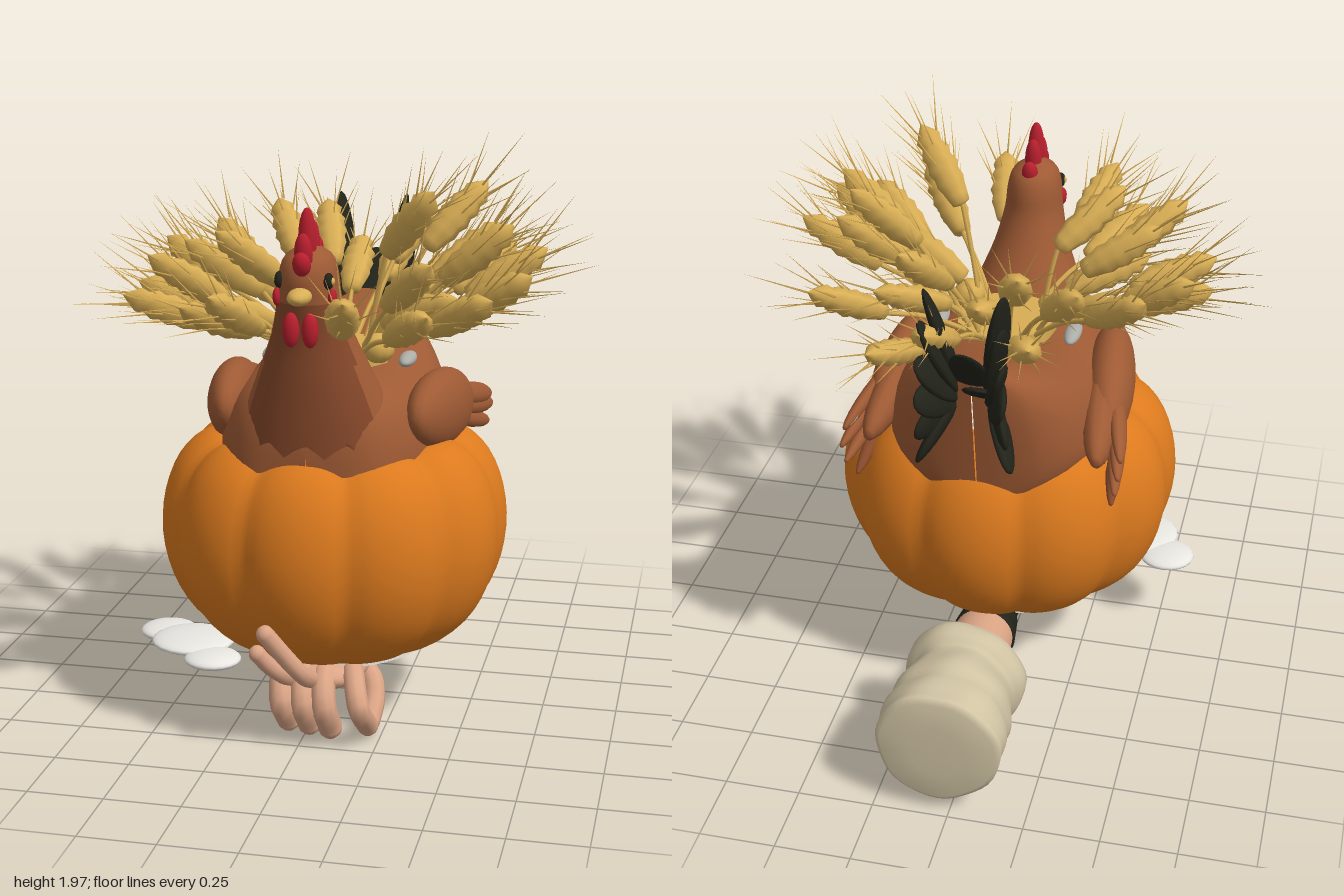
import * as THREE from 'three';
import { mergeGeometries } from 'three/addons/utils/BufferGeometryUtils.js';

const V = (x, y, z) => new THREE.Vector3(x, y, z);
const CX = 0.038; // mid plane of the bird and pumpkin
const TAU = Math.PI * 2;

const mat = (name, color) => {
  const m = new THREE.MeshStandardMaterial({ color });
  m.name = name;
  return m;
};

// Closed skin through rows of ring points; keep(row, angle) can leave faces out
function loft(rows, n, point, keep = () => true) {
  const pos = [], idx = [];
  rows.forEach((r) => {
    for (let j = 0; j < n; j++) pos.push(...point(r, (j / n) * TAU, j));
  });
  for (let i = 0; i < rows.length - 1; i++) {
    for (let j = 0; j < n; j++) {
      const a = i * n + j, b = i * n + (j + 1) % n;
      if (keep(rows[i], (j + 0.5) / n * TAU)) idx.push(a, a + n, b, b, a + n, b + n);
    }
  }
  const g = new THREE.BufferGeometry();
  g.setAttribute('position', new THREE.Float32BufferAttribute(pos, 3));
  g.setIndex(idx);
  g.computeVertexNormals();
  return g;
}

// Smooth resampling of a table of sections
function smooth(rows, steps) {
  const out = [];
  for (let i = 0; i < rows.length - 1; i++) {
    const p = [rows[Math.max(0, i - 1)], rows[i], rows[i + 1], rows[Math.min(rows.length - 1, i + 2)]];
    for (let s = 0; s < steps; s++) {
      const t = s / steps;
      out.push(rows[0].map((_, k) => {
        const [a, b, c, d] = p.map((q) => q[k]);
        return 0.5 * (2 * b + (c - a) * t + (2 * a - 5 * b + 4 * c - d) * t * t + (3 * b - a - 3 * c + d) * t ** 3);
      }));
    }
  }
  out.push(rows[rows.length - 1]);
  return out;
}

const ball = (c, rx, ry, rz, seg = 16) =>
  new THREE.SphereGeometry(1, seg, Math.ceil(seg * 0.7)).scale(rx, ry, rz).translate(c.x, c.y, c.z);

// Flat ellipsoid between two points, its thin side facing along normal
function leaf(a, b, width, thick, normal) {
  const y = b.clone().sub(a), len = y.length();
  y.normalize();
  const x = y.clone().cross(normal).normalize(), z = x.clone().cross(y);
  const m = new THREE.Matrix4().makeBasis(x, y, z).setPosition(a.clone().lerp(b, 0.5));
  return new THREE.SphereGeometry(1, 12, 10).scale(width / 2, len / 2, thick / 2).applyMatrix4(m);
}

// Rounded finger along a path
function finger(pts, r) {
  const curve = new THREE.CatmullRomCurve3(pts);
  const end = pts[pts.length - 1];
  return [new THREE.TubeGeometry(curve, 14, r, 10), ball(end, r, r, r, 10), ball(pts[0], r, r, r, 10)];
}

export function createModel() {
  const root = new THREE.Group();
  root.name = 'henInPumpkin';
  const M = {
    orange: mat('pumpkinOrange', 0xdc7a1e), brown: mat('henBrown', 0x9e5a34),
    dark: mat('bibBrown', 0x86482a), straw: mat('wheatStraw', 0xd9ae55),
    skin: mat('skin', 0xdca586), linen: mat('linen', 0xd0c3a3),
    black: mat('blackFeather', 0x22231a), red: mat('combRed', 0xb81f2d),
    white: mat('white', 0xeae9e4), grey: mat('grey', 0xadada8),
  };
  const add = (name, geo, m) => {
    const list = (Array.isArray(geo) ? geo : [geo]).map((g) => (g.index ? g.toNonIndexed() : g));
    const mesh = new THREE.Mesh(mergeGeometries(list), m);
    mesh.name = name;
    root.add(mesh);
  };

  // Pumpkin with ten lobes and a wavy rim
  const shell = [[0.01, 0.27], [0.25, 0.255], [0.37, 0.285], [0.485, 0.38], [0.553, 0.5], [0.582, 0.64],
    [0.57, 0.78], [0.522, 0.9], [0.445, 0.975], [0.36, 0.99], [0.24, 0.94]];
  add('pumpkin', loft(smooth(shell, 3), 120, ([r, y], a) => {
    const s = Math.pow(Math.abs(Math.sin(5 * (a - 1.29))), 0.6), k = 0.93 + 0.07 * s;
    return [CX + r * k * Math.cos(a), y - (y > 0.8 ? (y - 0.8) * 0.12 * (1 - s) : 0), 0.095 + r * k * Math.sin(a)];
  }), M.orange);
  add('basePlate', new THREE.CylinderGeometry(0.31, 0.31, 0.03, 40).translate(CX, 0.262, 0.09), M.white);
  add('plateBerries', [[0.2, 0.22], [0.17, 0.14], [0.25, 0.14]].map(([x, z]) => ball(V(x, 0.247, z), 0.03, 0.004, 0.025, 12)), M.red);

  // Hen body: z, top height, half width
  const bodyRows = [[0.535, 1.0, 0.002], [0.52, 1.1, 0.13], [0.47, 1.19, 0.21], [0.36, 1.225, 0.27], [0.18, 1.225, 0.32],
    [0, 1.235, 0.33], [-0.2, 1.285, 0.3], [-0.34, 1.335, 0.25], [-0.42, 1.355, 0.19], [-0.45, 1.35, 0.14], [-0.466, 1.34, 0.08],
    [-0.47, 1.335, 0.002]];
  add('henBody', loft(smooth(bodyRows, 3), 40, ([z, top, w], a) => {
    const pw = (v) => Math.sign(v) * Math.pow(Math.abs(v), 0.75);
    const s = pw(Math.sin(a)), h = (top - 0.82) / 2, y = 0.82 + h + h * s;
    const wide = Math.max(w, 0.001) * (1.12 - 0.18 * s);
    const tuck = z < 0 ? (z / 0.468) ** 2 * (1.3 - y) * 0.15 : 0;
    return [CX + wide * pw(Math.cos(a)), y, z + tuck];
  }), M.brown);

  // Neck and head: y, centre z, half width, half depth; the dark bib is its ragged front
  const neckRows = smooth([[1.02, 0.35, 0.25, 0.205], [1.12, 0.355, 0.232, 0.203], [1.25, 0.385, 0.182, 0.175], [1.38, 0.425, 0.13, 0.135],
    [1.5, 0.462, 0.1, 0.12], [1.58, 0.472, 0.092, 0.118], [1.64, 0.472, 0.07, 0.09], [1.68, 0.472, 0.002, 0.002]], 3);
  const neckPoint = ([y, cz, rx, rz], a, j) => [
    CX + rx * Math.cos(a), y < 1.03 ? y + [0.035, 0.01, -0.015, 0.01][j % 4] : y, cz + rz * Math.sin(a)];
  const isBib = ([y], a) => y < 1.47 && Math.abs(a - Math.PI / 2) < 1.05 + Math.max(0, y - 1.2);
  add('neckAndHead', loft(neckRows, 48, neckPoint, (r, a) => !isBib(r, a)), M.brown);
  add('bib', loft(neckRows, 48, neckPoint, isBib), M.dark);

  // Comb, wattles, beak, eyes
  const comb = [[0.6, 1.665], [0.57, 1.72], [0.51, 1.79], [0.455, 1.75], [0.395, 1.69]];
  add('comb', comb.map(([z, y]) => leaf(V(CX + 0.004, 1.59, 0.5 + (z - 0.5) * 0.75), V(CX + 0.004, y, z), 0.055, 0.058, V(1, 0, 0))), M.red);
  add('wattles', [-1, 1].map((s) => ball(V(CX + s * 0.03, 1.425, 0.59), 0.027, 0.055, 0.025, 12)), M.red);
  add('beak', ball(V(CX, 1.53, 0.6), 0.038, 0.027, 0.062, 12), M.straw);
  add('cheeks', [-1, 1].map((s) => ball(V(CX + s * 0.087, 1.515, 0.53), 0.014, 0.03, 0.025, 12)), M.red);
  add('eyeRims', [-1, 1].map((s) => ball(V(CX + s * 0.077, 1.57, 0.54), 0.016, 0.026, 0.026, 12)), M.black);
  add('eyes', [-1, 1].map((s) => ball(V(CX + s * 0.086, 1.571, 0.543), 0.012, 0.013, 0.013, 12)), M.straw);

  // Wings with coverts and trailing feathers
  for (const s of [-1, 1]) {
    const side = s > 0 ? 'left' : 'right';
    const shoulder = new THREE.SphereGeometry(1, 24, 18).scale(0.085, 0.135, 0.29).rotateX(-0.12).rotateY(-s * 0.12)
      .translate(CX + s * 0.35, 1.065, 0.07);
    const coverts = leaf(V(CX + s * 0.33, 1.12, 0.15), V(CX + s * 0.38, 1.0, -0.36), 0.17, 0.12, V(s, 0.2, 0));
    add(side + 'Wing', [shoulder, coverts], M.brown);
    const tips = [[0.46, 1.02, -0.36, 0.08], [0.46, 0.975, -0.4, 0.075], [0.45, 0.91, -0.39, 0.065], [0.43, 0.83, -0.33, 0.045]];
    const feathers = tips.map(([x, y, z, w], i) =>
      leaf(V(CX + s * 0.385, 1.1 - i * 0.04, 0), V(CX + s * x, y, z), w, 0.05, V(s, 0.5, 0.2)));
    add(side + 'WingFeathers', feathers.slice(0, 3), M.brown);
    add(side + 'LowestFeather', feathers[3], M.dark);
  }
  add('greyQuill', leaf(V(CX + 0.4, 1.085, -0.16), V(CX + 0.445, 1.025, -0.34), 0.03, 0.02, V(1, 0.3, 0)), M.grey);

  // Two fans of broad tail feathers with a pair between them
  const tailTips = [[-0.57, 1.68], [-0.62, 1.59], [-0.645, 1.46], [-0.64, 1.33], [-0.62, 1.2], [-0.59, 1.08]];
  const tail = [];
  for (const s of [-1, 1]) {
    tailTips.forEach(([z, y], i) => tail.push(leaf(V(CX + s * 0.05, 1.24, -0.385),
      V(CX + s * (0.12 + 0.006 * i), y, z), 0.135, 0.045, V(s, 0, -0.4))));
    tail.push(leaf(V(CX - 0.03, 1.24, -0.4), V(CX - 0.02 + s * 0.03, 1.42 + s * 0.06, -0.58), 0.13, 0.03, V(0, 0.6, 1)));
  }
  add('tailFeathers', tail, M.black);

  // Bed the wheat stands in
  add('strawBed', new THREE.CylinderGeometry(0.17, 0.17, 0.05, 9).translate(0.05, 1.245, 0.08), M.straw);
  add('bedTrim', [-1, 1].map((s) => ball(V(0.05 + s * 0.23, 1.23, 0.08), 0.028, 0.022, 0.08)), M.grey);
  add('knots', [V(0.2, 1.285, 0.18), V(-0.09, 1.265, 0.19)].map((p) => ball(p, 0.055, 0.05, 0.055, 10)), M.straw);

  // Wheat ears: tip x, z, y
  const ears = [[-0.6, -0.13, 1.57], [-0.48, -0.36, 1.6], [-0.29, -0.47, 1.66], [-0.17, -0.6, 1.53], [-0.1, -0.43, 1.67],
    [0.16, -0.63, 1.56], [0.33, -0.61, 1.46], [0.28, -0.4, 1.7], [0.57, -0.42, 1.55], [0.5, -0.16, 1.79],
    [0.57, -0.1, 1.66], [0.72, 0, 1.6], [0.63, 0.18, 1.7], [0.71, 0.34, 1.57], [0.61, 0.5, 1.52], [0.4, 0.33, 1.82],
    [0.44, 0.68, 1.5], [0.42, 0.5, 1.62], [0.21, 0.78, 1.55], [-0.2, 0.77, 1.55], [-0.34, 0.6, 1.48], [-0.5, 0.4, 1.6],
    [-0.62, 0.3, 1.45], [-0.64, 0.07, 1.45], [-0.3, 0.32, 1.67], [-0.45, 0.16, 1.61],
    [0.47, 0.25, 1.47], [0.4, -0.28, 1.5], [-0.4, -0.2, 1.5], [-0.4, 0.28, 1.45], [0.03, -0.42, 1.55]];
  const profile = [[0.006, 0]];
  [0.038, 0.052, 0.057, 0.055, 0.046].forEach((r, i) =>
    profile.push([r * 0.84, i * 0.055 + 0.008], [r, i * 0.055 + 0.034]));
  profile.push([0.022, 0.285], [0, 0.31]);
  const earShape = new THREE.LatheGeometry(profile.map((p) => new THREE.Vector2(...p)), 8).scale(1, 1, 0.8);
  const up = V(0, 1, 0), stems = [], heads = [], awns = [];
  ears.forEach(([x, z, y], k) => {
    const out = V(x - 0.05, 0, z - 0.08).normalize();
    const dir = out.clone().setY(0.3 + (y - 1.42) * 1.9).normalize();
    const foot = V(x, y, z).addScaledVector(dir, -0.305);
    const q = new THREE.Quaternion().setFromUnitVectors(up, dir);
    heads.push(earShape.clone().applyQuaternion(q).translate(foot.x, foot.y, foot.z));
    const start = V(0.05, 1.24, 0.08).addScaledVector(out, 0.13);
    const mid = start.clone().lerp(foot, 0.55).add(V(0, 0.02, 0));
    stems.push(new THREE.TubeGeometry(new THREE.CatmullRomCurve3([start, mid, foot]), 6, 0.009, 5));
    for (let i = 0; i < 11; i++) {
      const a = i * 2.4 + k, along = 0.1 + 0.018 * i, len = 0.2 + 0.01 * ((i * 7 + k) % 4);
      const tilt = V(Math.cos(a) * 0.42, 1, Math.sin(a) * 0.42).normalize();
      const g = new THREE.ConeGeometry(0.0042, len, 3, 1, true).translate(0, len / 2, 0)
        .applyQuaternion(new THREE.Quaternion().setFromUnitVectors(up, tilt))
        .translate(Math.cos(a) * 0.03, along, Math.sin(a) * 0.024);
      awns.push(g.applyQuaternion(q).translate(foot.x, foot.y, foot.z));
    }
  });
  add('wheatStems', stems, M.straw);
  add('wheatEars', heads, M.straw);
  add('wheatAwns', awns, M.straw);

  // Forearm, wrist bands and rumpled sleeve running back
  const tubeBack = (rows) => loft(rows, 32, ([z, cy, r], a) => [CX + r * Math.cos(a), cy + r * Math.sin(a), z]);
  add('forearm', tubeBack(smooth([[0.14, 0.205, 0.062], [0.03, 0.2, 0.06], [-0.12, 0.21, 0.072], [-0.3, 0.225, 0.1], [-0.6, 0.245, 0.12]], 4)), M.skin);
  for (const [z, w] of [[-0.008, 0.026], [-0.085, 0.036], [-0.212, 0.045], [-0.268, 0.05]]) {
    const t = -z / 0.3, r = 0.066 + 0.042 * t, cy = 0.202 + 0.023 * t;
    add('wristBand', tubeBack([[z, cy, r * 0.8], [z, cy, r], [z - w, cy, r + 0.006], [z - w, cy, r * 0.8]]), M.black);
  }
  const sleeve = [[-0.57, 0.1], [-0.55, 0.185], [-0.585, 0.202], [-0.625, 0.198], [-0.655, 0.175], [-0.7, 0.185], [-0.77, 0.204],
    [-0.82, 0.197], [-0.87, 0.207], [-0.94, 0.202], [-0.978, 0.187], [-0.982, 0.002]];
  add('sleeve', loft(smooth(sleeve, 2), 40, ([z, r], a) => {
    const k = r * (1 + 0.022 * Math.sin(3 * a + z * 14) + 0.012 * Math.sin(7 * a - z * 20));
    return [CX + k * Math.cos(a), 0.257 + k * Math.sin(a), z];
  }), M.linen);

  // Hand: palm, knuckles, curled fingers, finger and thumb ring, two raised fingers
  const hand = [ball(V(0.055, 0.205, 0.22), 0.135, 0.068, 0.16), ball(V(0.04, 0.22, 0.38), 0.135, 0.048, 0.09)];
  [-0.07, 0, 0.07].forEach((x, i) => hand.push(...finger(
    [V(x, 0.21, 0.26), V(x, 0.23, 0.42), V(x + 0.015, 0.15, 0.49), V(x + 0.025, 0.075 - i * 0.008, 0.44)], 0.041)));
  hand.push(...finger([V(0.13, 0.21, 0.24), V(0.165, 0.235, 0.4), V(0.2, 0.155, 0.49), V(0.21, 0.05, 0.385)], 0.036));
  hand.push(...finger([V(0.1, 0.19, 0.17), V(0.19, 0.16, 0.23), V(0.21, 0.1, 0.28), V(0.205, 0.045, 0.34)], 0.038));
  hand.push(...finger([V(0.04, 0.21, 0.43), V(0.02, 0.28, 0.54), V(-0.03, 0.365, 0.59), V(-0.075, 0.44, 0.625)], 0.03));
  hand.push(...finger([V(-0.03, 0.21, 0.43), V(-0.05, 0.265, 0.52), V(-0.08, 0.31, 0.565), V(-0.11, 0.36, 0.595)], 0.028));
  add('hand', hand, M.skin);

  // Flat white petals beside the base
  add('whitePetals', [[-0.515, 0.27, 0.23, 0.098], [-0.4, 0.283, 0.33, 0.14], [-0.3, 0.27, 0.45, 0.095]].map(
    ([x, y, z, r]) => ball(V(x, y, z), r, 0.026, r * 0.95, 20)), M.white);
  return root;
}
